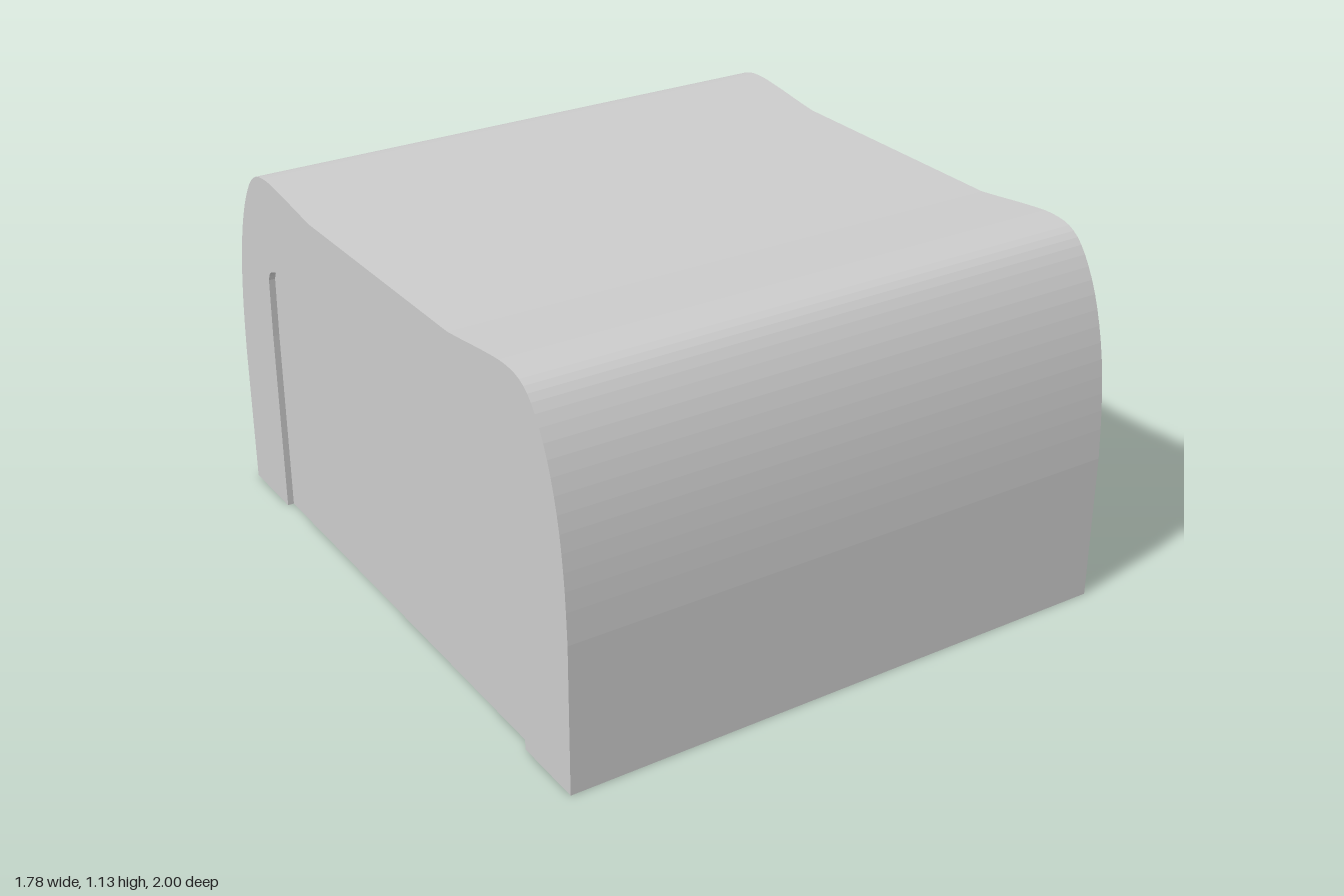
import * as THREE from 'three';

const HALF = 0.89; // half length along x

// Half profile as [z, y] points, smoothed by a spline
const smooth = (pts, n) =>
  new THREE.SplineCurve(pts.map(([z, y]) => new THREE.Vector2(z, y))).getPoints(n);

// Full left-to-right outline from a half outline that starts at the foot
function mirrored(half) {
  const other = half.map(p => new THREE.Vector2(-p.x, p.y)).reverse();
  return [...half, ...other];
}

// Extrude a z-y outline along x, between x0 and x1
function extrudeAlongX(points, x0, x1, material, name) {
  const geometry = new THREE.ExtrudeGeometry(new THREE.Shape(points), {
    depth: x1 - x0, bevelEnabled: false, steps: 1,
  });
  geometry.rotateY(-Math.PI / 2).translate(x1, 0, 0);
  const mesh = new THREE.Mesh(geometry, material);
  mesh.name = name;
  return mesh;
}

export function createModel() {
  const group = new THREE.Group();
  group.name = 'coveredShell';
  const material = new THREE.MeshStandardMaterial({ color: 0xcccccc, flatShading: true });

  // Outer outline: straight foot, rounded shoulder, raised lip, flat middle
  const outer = mirrored([
    new THREE.Vector2(1, 0),
    ...smooth([[1, 0.46], [0.99, 0.63], [0.965, 0.8], [0.92, 0.95], [0.86, 1.06],
      [0.8, 1.112], [0.72, 1.126], [0.62, 1.118], [0.5, 1.102], [0.42, 1.092]], 30),
  ]);

  // Inner outline: upright walls, tight corners, nearly flat ceiling
  const inner = mirrored([
    new THREE.Vector2(0.765, 0),
    new THREE.Vector2(0.765, 0.6),
    ...smooth([[0.76, 0.79], [0.745, 0.818], [0.7, 0.837], [0.6, 0.849], [0.42, 0.858]], 14),
  ]);

  // Arched shell, open underneath
  const arch = [...outer, ...[...inner].reverse()];
  group.add(extrudeAlongX(arch, -HALF, HALF, material, 'archShell'));

  // Panel closing one end, set slightly inside the shell
  group.add(extrudeAlongX(inner, -HALF + 0.02, -HALF + 0.1, material, 'endPanel'));

  return group;
}
